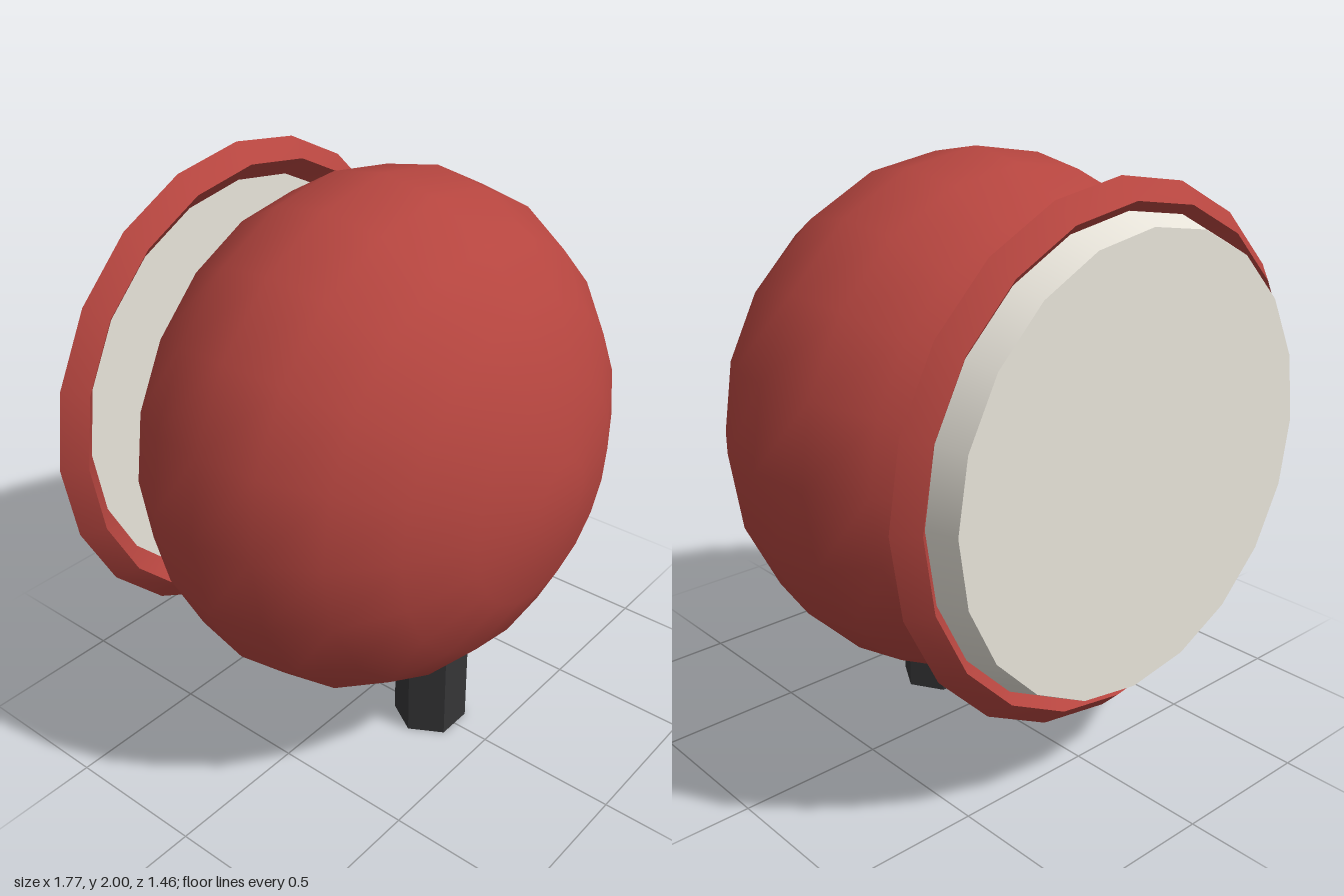
import * as THREE from 'three';
import { toCreasedNormals } from 'three/addons/utils/BufferGeometryUtils.js';

const CENTER_Y = 1.113;
const SIDES = 20;

export function createModel() {
  const model = new THREE.Group();
  const red = new THREE.MeshStandardMaterial({ color: 0xb5453f });
  const white = new THREE.MeshStandardMaterial({ color: 0xe8e4da });
  const dark = new THREE.MeshStandardMaterial({ color: 0x353537, flatShading: true });

  const add = (name, geometry, material, x, y, z) => {
    const mesh = new THREE.Mesh(geometry, material);
    mesh.name = name;
    mesh.position.set(x, y, z);
    model.add(mesh);
  };

  // Bulb: flattened ball turned about the z axis, with small flat poles
  const radius = 0.887, depth = 0.712, steps = 11;
  const profile = [];
  for (let i = 0; i < steps; i++) {
    const a = ((i + 0.5) / steps) * Math.PI;
    profile.push(new THREE.Vector2(radius * Math.sin(a), -depth * Math.cos(a)));
  }
  profile.unshift(new THREE.Vector2(0, profile[0].y));
  profile.push(new THREE.Vector2(0, profile[steps].y));
  const bulb = new THREE.LatheGeometry(profile, SIDES).rotateX(Math.PI / 2);
  add('bulb', bulb, red, 0, CENTER_Y, 0.025);

  // Rim: ring with a diamond section, sharp along its ridges
  const rim = toCreasedNormals(new THREE.TorusGeometry(0.798, 0.065, 4, SIDES), Math.PI / 5);
  add('rim', rim, red, 0, CENTER_Y, -0.6);

  // Back plate: tapered disc held in the rim
  const plate = new THREE.CylinderGeometry(0.777, 0.734, 0.133, SIDES).rotateX(Math.PI / 2);
  add('backPlate', plate, white, 0, CENTER_Y, -0.6665);

  // Stem: hexagonal peg with corners to left and right, running up into the bulb
  const stem = new THREE.CylinderGeometry(0.13, 0.13, 0.42, 6).rotateY(Math.PI / 6);
  add('stem', stem, dark, 0, 0.21, 0.25);

  return model;
}
